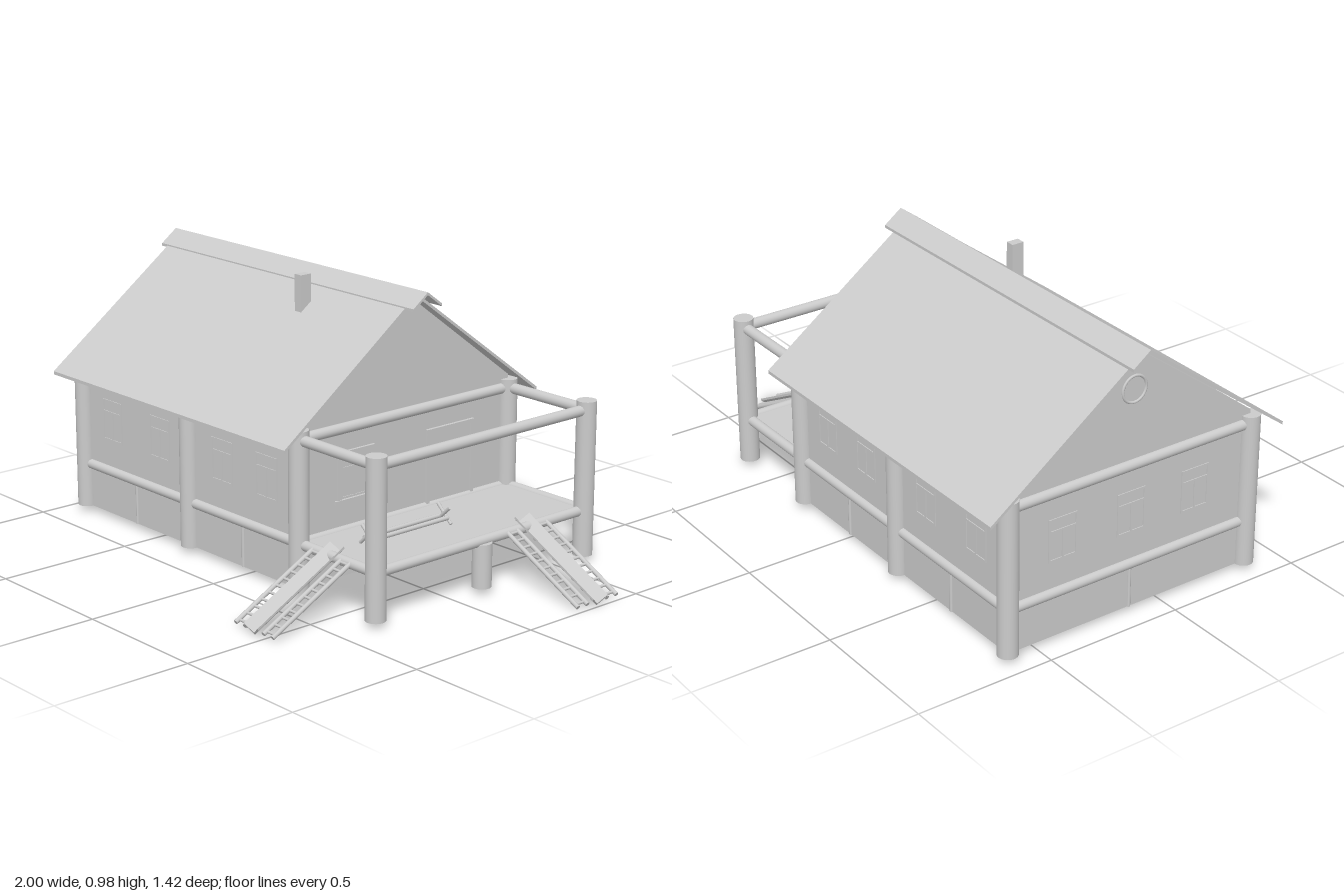
import * as THREE from 'three';

const mat = new THREE.MeshStandardMaterial({ color: 0xcccccc, side: THREE.DoubleSide });
const LEFT = 0.275, MID = -0.307, RIGHT = -0.92, PORCH = 0.652;
const FRONT = 0.355, BACK = -0.61, RIDGE = -0.13;

function add(parent, name, geo, x = 0, y = 0, z = 0) {
  const m = new THREE.Mesh(geo, mat);
  m.name = name;
  m.position.set(x, y, z);
  parent.add(m);
  return m;
}

function box(parent, name, w, h, d, x, y, z) {
  return add(parent, name, new THREE.BoxGeometry(w, h, d), x, y, z);
}

// Round timber between two points
function log(parent, name, a, b, r, sides = 20) {
  const p = new THREE.Vector3(...a), q = new THREE.Vector3(...b);
  const m = add(parent, name, new THREE.CylinderGeometry(r, r, p.distanceTo(q), sides));
  m.position.copy(p).add(q).multiplyScalar(0.5);
  m.quaternion.setFromUnitVectors(new THREE.Vector3(0, 1, 0), q.sub(p).normalize());
  return m;
}

function extrude(points, depth) {
  const shape = new THREE.Shape(points.map(p => new THREE.Vector2(...p)));
  return new THREE.ExtrudeGeometry(shape, { depth, bevelEnabled: false });
}

// Bent sheet with its fold at the origin; rise < 0 makes a roof, rise > 0 a trough
function chevron(half, rise, t, depth) {
  return extrude([[-half, rise], [0, 0], [half, rise], [half, rise - t], [0, -t], [-half, rise - t]], depth);
}

// Casement window facing +z
function makeWindow(w, h, trim) {
  const g = new THREE.Group();
  g.name = 'window';
  const b = 0.007, d = 0.006;
  for (const s of [-1, 1]) {
    box(g, 'windowJamb', b, h, d, s * (w - b) / 2, 0, 0);
    box(g, 'windowRail', w, b, d, 0, s * (h - b) / 2, 0);
  }
  box(g, 'windowTransom', w, b, d, 0, h * 0.2, 0);
  box(g, 'windowMullion', b, h * 0.7, d, 0, -h * 0.15, 0);
  if (trim) {
    for (const s of [-1, 1]) {
      box(g, 'casing', 0.018, h + 0.02, 0.014, s * (w / 2 + 0.009), 0, 0);
      box(g, 'casingBoard', w + 0.056, 0.014, 0.02, 0, s * (h / 2 + 0.008), 0);
    }
  }
  return g;
}

// Ramp running down along +z: two narrow ladders with a V trough between them
function makeRamp(name) {
  const g = new THREE.Group();
  g.name = name;
  const slope = new THREE.Group();
  slope.name = 'rampSlope';
  slope.rotation.x = Math.atan2(0.178, 0.34);
  g.add(slope);
  const len = 0.382, rungs = 11;
  for (const s of [-1, 1]) {
    for (const x of [0.047, 0.092])
      log(slope, 'ladderRail', [s * x, 0, 0], [s * x, 0, len], 0.008, 10);
    for (let i = 0; i < rungs; i++) {
      const z = 0.02 + i * (len - 0.035) / (rungs - 1);
      log(slope, 'ladderRung', [s * 0.047, 0, z], [s * 0.092, 0, z], 0.005, 8);
    }
  }
  add(slope, 'trough', chevron(0.034, 0.03, 0.008, len + 0.03), 0, -0.008, -0.026);
  return g;
}

export function createModel() {
  const model = new THREE.Group();
  model.name = 'logHouse';

  // House body with gables
  const body = extrude([[-FRONT, 0.025], [-BACK, 0.025], [-BACK, 0.592], [-RIDGE, 0.95], [-FRONT, 0.592]], LEFT - RIGHT);
  body.rotateY(Math.PI / 2);
  add(model, 'walls', body, RIGHT, 0, 0);

  // Roof, ridge cap and chimney
  const roof = chevron(0.582, -0.428, 0.012, 1.288);
  roof.rotateY(Math.PI / 2);
  add(model, 'roof', roof, -0.967, 0.965, RIDGE + 0.003);
  const cap = chevron(0.065, -0.048, 0.01, 1.362);
  cap.rotateY(Math.PI / 2);
  add(model, 'ridgeCap', cap, -0.999, 0.976, RIDGE - 0.005);
  box(model, 'chimney', 0.033, 0.13, 0.045, -0.107, 0.914, 0.008);

  // Upright posts
  for (const z of [FRONT, BACK])
    for (const x of [RIGHT, MID, LEFT, PORCH])
      log(model, 'post', [x, 0.025, z], [x, 0.578, z], 0.035, 28);
  log(model, 'porchStub', [PORCH, 0.025, -0.122], [PORCH, 0.18, -0.122], 0.034, 28);

  // Horizontal logs, lower and upper
  for (const [y, r] of [[0.186, 0.018], [0.545, 0.019]]) {
    for (const z of [FRONT, BACK]) log(model, 'sideLog', [RIGHT, y, z], [PORCH, y, z], r);
    for (const x of [RIGHT, LEFT, PORCH]) log(model, 'endLog', [x, y, FRONT], [x, y, BACK], r);
  }

  // Slim stakes along the foundation
  for (const x of [(RIGHT + MID) / 2, (MID + LEFT) / 2])
    for (const z of [FRONT, BACK]) log(model, 'stake', [x, 0.025, z], [x, 0.18, z], 0.006, 10);
  log(model, 'stake', [RIGHT, 0.025, RIDGE], [RIGHT, 0.18, RIDGE], 0.006, 10);

  // Windows on the long walls and the right gable
  const place = (win, x, y, z, turn) => {
    win.position.set(x, y, z);
    win.rotation.y = turn;
    model.add(win);
  };
  for (const x of [-0.751, -0.474, -0.125, 0.11]) {
    place(makeWindow(0.112, 0.152, false), x, 0.376, FRONT, 0);
    place(makeWindow(0.112, 0.152, false), x, 0.376, BACK, Math.PI);
  }
  for (const z of [-0.4, RIDGE, 0.13])
    place(makeWindow(0.112, 0.152, false), RIGHT, 0.376, z, -Math.PI / 2);
  place(makeWindow(0.118, 0.152, true), LEFT, 0.375, 0.113, Math.PI / 2);

  // Round vent in the right gable
  const vent = add(model, 'gableVent', new THREE.TorusGeometry(0.046, 0.005, 8, 32), RIGHT, 0.81, RIDGE);
  vent.rotation.y = Math.PI / 2;

  // Door to the porch
  box(model, 'door', 0.006, 0.26, 0.196, LEFT, 0.322, -0.327);
  for (const z of [-0.222, -0.432]) box(model, 'doorJamb', 0.022, 0.27, 0.013, LEFT, 0.328, z);
  box(model, 'doorHead', 0.022, 0.013, 0.224, LEFT, 0.459, -0.327);

  // Porch floor
  box(model, 'porchFloor', PORCH - LEFT, 0.016, FRONT - BACK, (PORCH + LEFT) / 2, 0.186, (FRONT + BACK) / 2);

  // Sawhorse with crossed legs
  const horse = new THREE.Group();
  horse.name = 'sawhorse';
  horse.position.set(0.454, 0, 0.038);
  model.add(horse);
  for (const z of [-0.172, 0.172])
    for (const s of [-1, 1])
      log(horse, 'crossedLeg', [-s * 0.033, 0.196, z + s * 0.004], [s * 0.033, 0.256, z + s * 0.004], 0.006, 10);
  for (const x of [-0.018, 0.018])
    log(horse, 'sawhorseRail', [x, 0.216, -0.172], [x, 0.216, 0.172], 0.008, 10);

  // Ramps at the front and the left side of the porch
  const frontRamp = makeRamp('frontRamp');
  frontRamp.position.set(0.45, 0.196, 0.355);
  const sideRamp = makeRamp('sideRamp');
  sideRamp.position.set(0.652, 0.196, -0.322);
  sideRamp.rotation.y = Math.PI / 2;
  model.add(frontRamp, sideRamp);

  return model;
}
